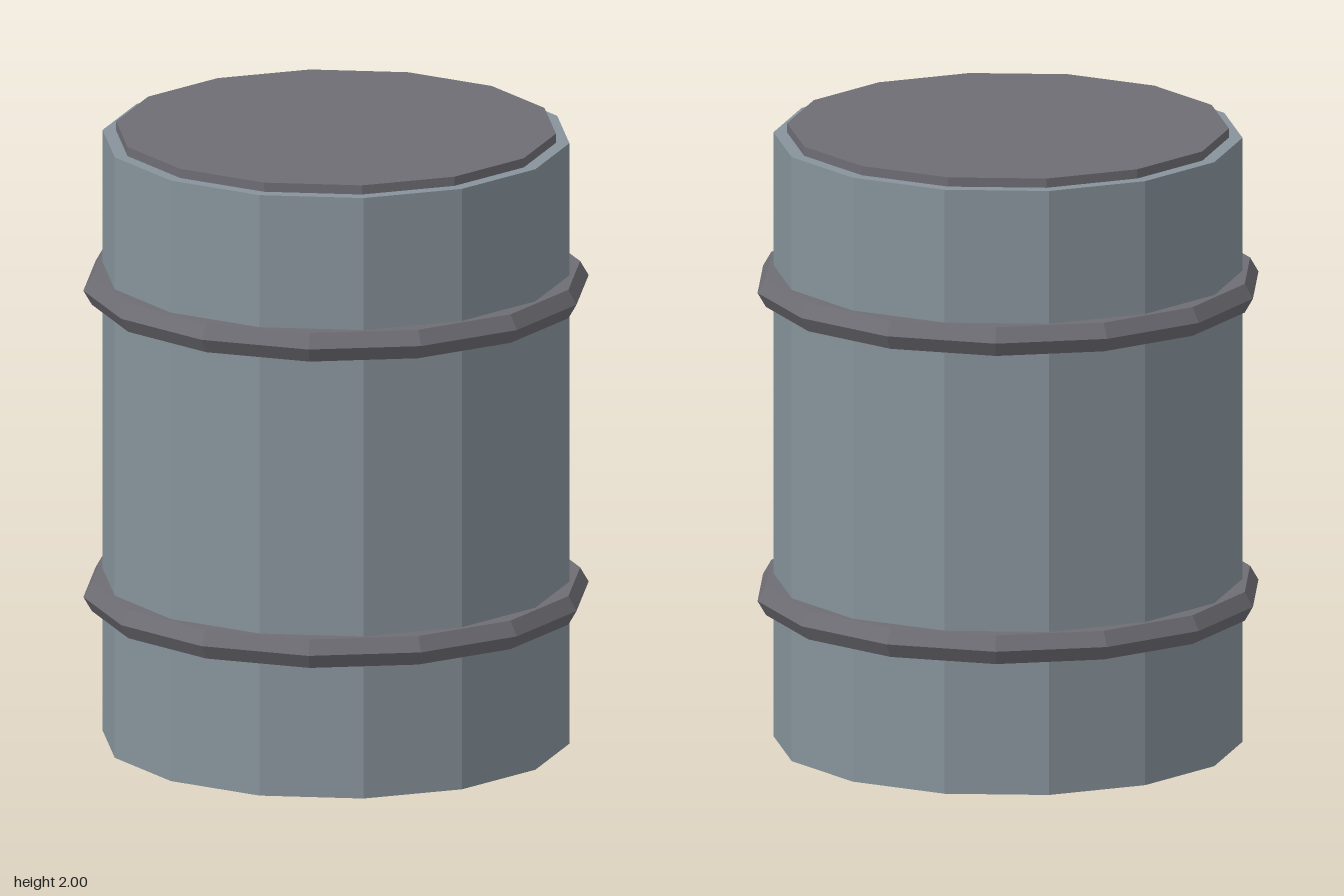
import * as THREE from 'three';

const SIDES = 14;

export function createModel() {
  const barrel = new THREE.Group();
  barrel.name = 'barrel';

  const steel = new THREE.MeshStandardMaterial({ color: 0x87939b, flatShading: true });
  steel.name = 'blue grey steel';
  const iron = new THREE.MeshStandardMaterial({ color: 0x6e6d74, flatShading: true });
  iron.name = 'dark grey iron';

  const add = (name, geometry, material, y) => {
    const mesh = new THREE.Mesh(geometry, material);
    mesh.name = name;
    mesh.position.y = y;
    barrel.add(mesh);
  };

  // Faceted drum, closed at both ends
  const bodyHeight = 1.97;
  add('body', new THREE.CylinderGeometry(0.743, 0.743, bodyHeight, SIDES), steel, bodyHeight / 2);

  // Thin raised lid, inset from the rim
  add('lid', new THREE.CylinderGeometry(0.7, 0.7, 0.03, SIDES), iron, 1.985);

  // Hexagonal-section hoops, corners pointing along x
  const hoop = new THREE.TorusGeometry(0.751, 0.054, 6, SIDES).rotateX(Math.PI / 2);
  add('lowerHoop', hoop, iron, 0.485);
  add('upperHoop', hoop, iron, 1.49);

  return barrel;
}
